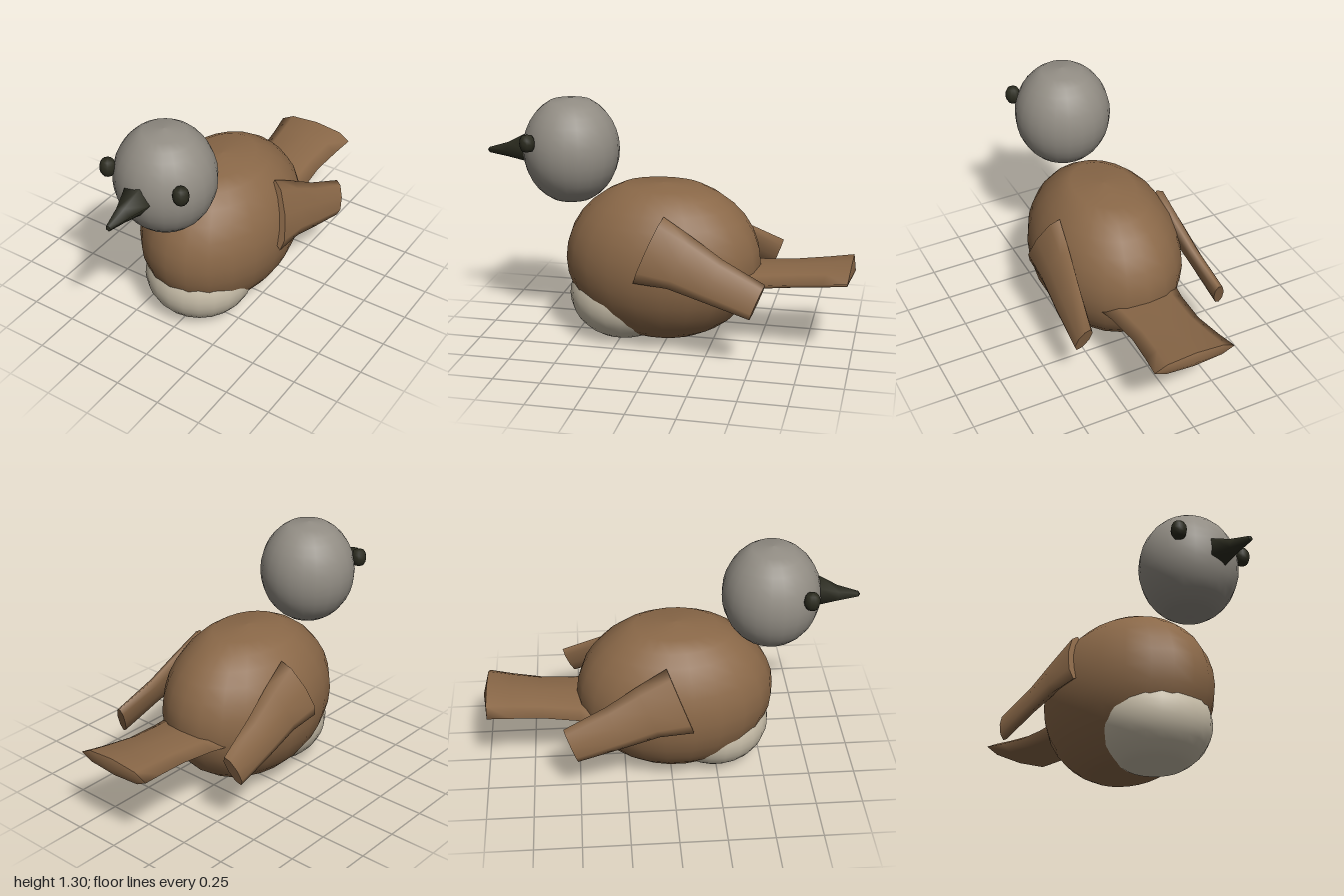
import * as THREE from 'three';

const mat = (name, color) => {
  const m = new THREE.MeshStandardMaterial({ color });
  m.name = name;
  return m;
};

// Rounded ball with nearly flat caps: radii, cap start angle in degrees, height of the pole
function ball(rx, ry, rz, capAngle, pole, segments = 22, rings = 12) {
  const a0 = THREE.MathUtils.degToRad(capAngle);
  const profile = [new THREE.Vector2(0, -pole)];
  for (let i = 0; i <= rings; i++) {
    const a = a0 + (Math.PI - 2 * a0) * (i / rings);
    profile.push(new THREE.Vector2(Math.sin(a), -Math.cos(a) * ry));
  }
  profile.push(new THREE.Vector2(0, pole));
  return new THREE.LatheGeometry(profile, segments).scale(rx, 1, rz);
}

// Skin over elliptical sections [centre, u, v]; u x v points along the path.
// The end caps come to the points start and end.
function loft(sections, sides, start, end) {
  const pos = [], index = [];
  const ring = ([c, u, v]) => {
    for (let k = 0; k < sides; k++) {
      const a = (k / sides) * Math.PI * 2;
      for (let j = 0; j < 3; j++) pos.push(c[j] + u[j] * Math.cos(a) + v[j] * Math.sin(a));
    }
  };
  sections.forEach(ring);
  for (let i = 0; i < sections.length - 1; i++) {
    for (let k = 0; k < sides; k++) {
      const a = i * sides + k, b = i * sides + (k + 1) % sides;
      index.push(a, b, b + sides, a, b + sides, a + sides);
    }
  }
  const cap = (section, tip, flip) => {
    const base = pos.length / 3;
    ring(section);
    pos.push(...tip);
    for (let k = 0; k < sides; k++) {
      const a = base + k, b = base + (k + 1) % sides;
      index.push(flip ? b : a, flip ? a : b, base + sides);
    }
  };
  cap(sections[0], start, true);
  cap(sections[sections.length - 1], end, false);
  const g = new THREE.BufferGeometry();
  g.setAttribute('position', new THREE.Float32BufferAttribute(pos, 3));
  g.setIndex(index);
  g.computeVertexNormals();
  return g;
}

// Wing sections: top edge, bottom edge, half thickness
function wing(side) {
  const rows = [
    [[0.285, 0.772, -0.035], [0.408, 0.445, 0.1], 0.05],
    [[0.305, 0.68, -0.19], [0.41, 0.43, -0.08], 0.045],
    [[0.33, 0.58, -0.35], [0.42, 0.375, -0.27], 0.038],
    [[0.37, 0.475, -0.575], [0.42, 0.3, -0.505], 0.032],
  ];
  const sections = rows.map(([t, b, h]) => [
    [side * (t[0] + b[0]) / 2, (t[1] + b[1]) / 2, (t[2] + b[2]) / 2],
    [side * (t[0] - b[0]) / 2, (t[1] - b[1]) / 2, (t[2] - b[2]) / 2],
    [h * 0.93, side * h * 0.36, 0],
  ]);
  return loft(sections, 8, sections[0][0], sections[3][0]);
}

export function createModel() {
  const group = new THREE.Group();
  const brown = mat('brown feathers', 0x8a6848);
  const grey = mat('grey feathers', 0x928d84);
  const cream = mat('cream feathers', 0xc9bfaa);
  const dark = mat('dark beak and eyes', 0x2b2b1f);

  const add = (name, geometry, material, x = 0, y = 0, z = 0) => {
    const mesh = new THREE.Mesh(geometry, material);
    mesh.name = name;
    mesh.position.set(x, y, z);
    group.add(mesh);
  };

  // Body, belly and head
  add('body', ball(0.39, 0.443, 0.53, 24.5, 0.418), brown, 0, 0.455, 0.03);
  add('belly', ball(0.295, 0.25, 0.297, 32, 0.238), cream, 0, 0.243, 0.245);
  add('head', ball(0.26, 0.29, 0.258, 25, 0.278), grey, 0, 1.027, 0.53);

  // Five-sided beak
  add('beak', loft([
    [[0.003, 1.03, 0.775], [0.082, 0, 0], [0, 0.08, 0]],
    [[0, 1.01, 0.88], [0.042, 0, 0], [0, 0.042, 0]],
    [[0, 1.0, 0.99], [0.015, 0, 0], [0, 0.015, 0]],
  ], 5, [0, 1.03, 0.775], [0, 1.0, 1.0]), dark);

  // Fanned flat tail
  const tailRow = (y, z, w, h) => [[0, y, z], [0, h, -h * 0.15], [w, 0, 0]];
  add('tail', loft([
    tailRow(0.385, -0.32, 0.235, 0.05),
    tailRow(0.4, -0.48, 0.205, 0.05),
    tailRow(0.418, -0.68, 0.19, 0.05),
    tailRow(0.438, -0.85, 0.207, 0.05),
    tailRow(0.455, -0.975, 0.225, 0.05),
  ], 8, [0, 0.385, -0.32], [0, 0.457, -1]), brown);

  // Mirrored eyes and wings
  for (const [side, label] of [[1, 'left'], [-1, 'right']]) {
    add(label + 'Eye', ball(0.042, 0.054, 0.042, 42, 0.047, 10, 4), dark, side * 0.215, 1.1, 0.705);
    add(label + 'Wing', wing(side), brown);
  }
  return group;
}
